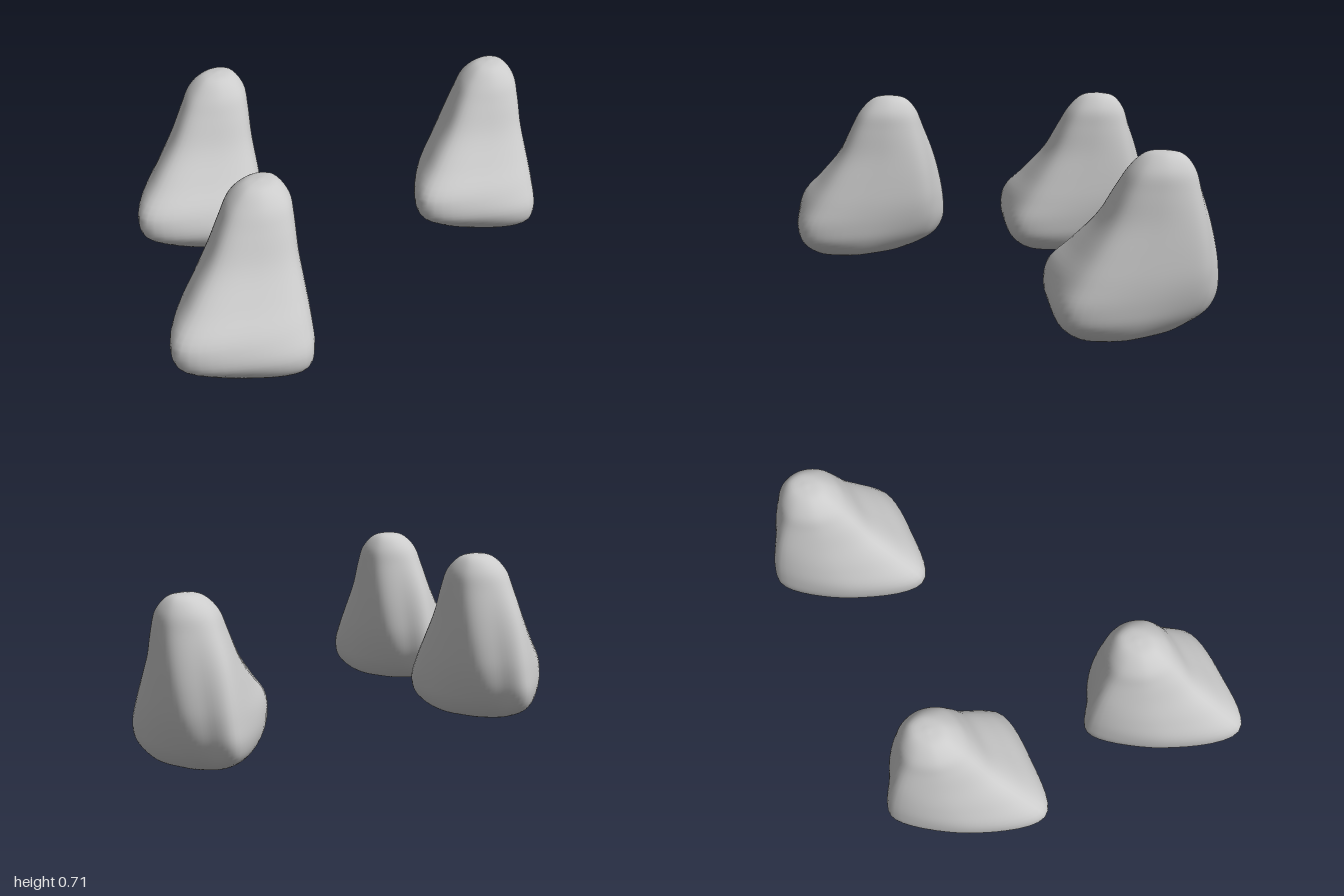
import * as THREE from 'three';
import { mergeVertices } from 'three/addons/utils/BufferGeometryUtils.js';

// Horizontal sections, top to bottom. Each names its height, its outermost
// points on the right, front, left and back as [x, z], and how far its sides bulge.
const SECTIONS = [
  { y: 0.712, r: [0.275, 0.52], f: [0.275, 0.52], l: [0.275, 0.52], b: [0.275, 0.52], bulge: 0 },
  { y: 0.70, r: [0.33, 0.52], f: [0.275, 0.59], l: [0.22, 0.52], b: [0.27, 0.455], bulge: 0.2 },
  { y: 0.65, r: [0.385, 0.52], f: [0.275, 0.65], l: [0.165, 0.52], b: [0.265, 0.42], bulge: 0.18 },
  { y: 0.58, r: [0.42, 0.535], f: [0.28, 0.705], l: [0.13, 0.51], b: [0.26, 0.405], bulge: 0.14 },
  { y: 0.48, r: [0.46, 0.56], f: [0.285, 0.78], l: [0.088, 0.5], b: [0.25, 0.393], bulge: 0.11 },
  { y: 0.38, r: [0.515, 0.59], f: [0.295, 0.89], l: [0.06, 0.495], b: [0.24, 0.391], bulge: 0.1 },
  { y: 0.29, r: [0.566, 0.62], f: [0.305, 0.988], l: [0.044, 0.495], b: [0.235, 0.4], bulge: 0.1 },
  { y: 0.21, r: [0.6, 0.64], f: [0.31, 0.985], l: [0.04, 0.5], b: [0.24, 0.425], bulge: 0.1 },
  { y: 0.15, r: [0.592, 0.645], f: [0.315, 0.91], l: [0.065, 0.52], b: [0.26, 0.46], bulge: 0.11 },
  { y: 0.105, r: [0.535, 0.645], f: [0.325, 0.81], l: [0.15, 0.56], b: [0.29, 0.51], bulge: 0.14 },
  { y: 0.085, r: [0.45, 0.64], f: [0.34, 0.71], l: [0.255, 0.6], b: [0.325, 0.57], bulge: 0.18 },
  { y: 0.08, r: [0.35, 0.64], f: [0.35, 0.64], l: [0.35, 0.64], b: [0.35, 0.64], bulge: 0 },
];
const AROUND = 56, DOWN = 55;

// Closed outline of one section: four extremes with bulged points between them
function outline({ y, r, f, l, b, bulge }) {
  const ends = [r, f, l, b], points = [];
  ends.forEach(([x, z], i) => {
    const [nx, nz] = ends[(i + 1) % 4];
    points.push(new THREE.Vector3(x, y, z));
    points.push(new THREE.Vector3((x + nx) / 2 + (nz - z) * bulge, y, (z + nz) / 2 - (nx - x) * bulge));
  });
  const curve = new THREE.CatmullRomCurve3(points, true, 'catmullrom', 0.5);
  return Array.from({ length: AROUND }, (_, i) => curve.getPoint(i / AROUND));
}

// Smooth four-cornered stone skinned over the sections
function stoneGeometry() {
  const rings = SECTIONS.map(outline), positions = [], index = [];
  for (let i = 0; i < AROUND; i++) {
    const column = new THREE.CatmullRomCurve3(rings.map((ring) => ring[i]));
    for (let j = 0; j <= DOWN; j++) positions.push(...column.getPoint(j / DOWN).toArray());
  }
  const at = (i, j) => (i % AROUND) * (DOWN + 1) + j;
  for (let i = 0; i < AROUND; i++) {
    for (let j = 0; j < DOWN; j++) {
      if (j < DOWN - 1) index.push(at(i, j), at(i + 1, j + 1), at(i, j + 1));
      if (j > 0) index.push(at(i, j), at(i + 1, j), at(i + 1, j + 1));
      if (j === DOWN - 1) index.push(at(i, j), at(i + 1, j + 1), at(i, j + 1));
    }
  }
  const geometry = new THREE.BufferGeometry();
  geometry.setAttribute('position', new THREE.Float32BufferAttribute(positions, 3));
  geometry.setIndex(index);
  const merged = mergeVertices(geometry, 1e-5);
  merged.computeVertexNormals();
  return merged;
}

export function createModel() {
  const group = new THREE.Group();
  group.name = 'stones';
  const geometry = stoneGeometry();
  const material = new THREE.MeshStandardMaterial({ color: 0xcccccc });
  // Three copies of the same stone
  const places = { frontStone: [0, 0, 0], middleStone: [-0.65, 0, -0.5], backStone: [0.005, -0.08, -1.39] };
  for (const [name, place] of Object.entries(places)) {
    const stone = new THREE.Mesh(geometry, material);
    stone.name = name;
    stone.position.set(...place);
    group.add(stone);
  }
  return group;
}
